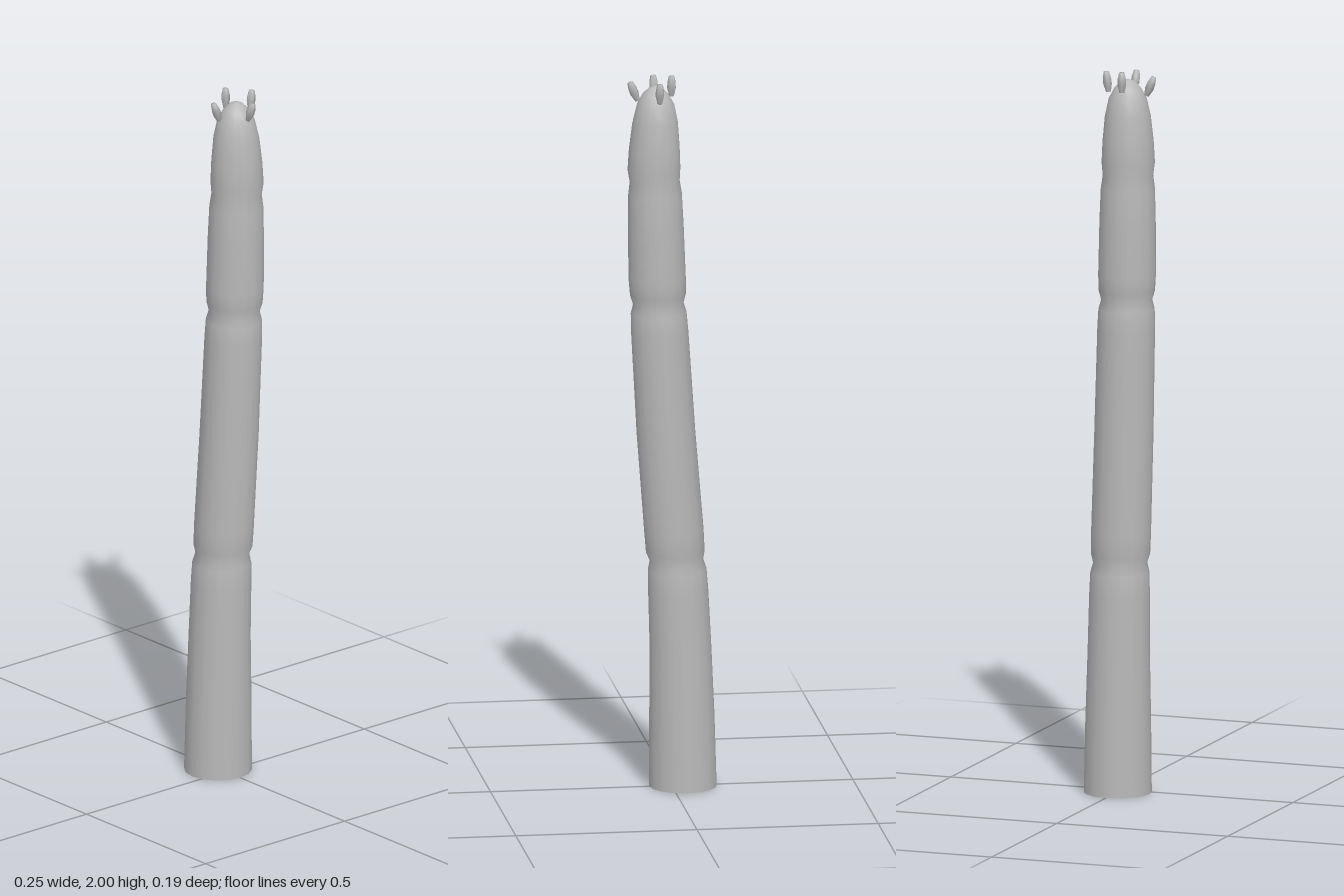
import * as THREE from 'three';

export function createModel() {
  const model = new THREE.Group();
  const grey = new THREE.MeshStandardMaterial({ color: 0xb8b8b8, side: THREE.DoubleSide });
  grey.name = 'plain grey';

  // Leaning stalk: each ring is [height, centre x, radius], pinched at the joints
  const rings = [
    [0, -0.031, 0.093], [0.2, -0.028, 0.09], [0.4, -0.024, 0.085], [0.55, -0.018, 0.083],
    [0.61, -0.015, 0.081], [0.637, -0.013, 0.074], [0.66, -0.01, 0.081], [0.72, -0.006, 0.082],
    [1.0, 0.016, 0.081], [1.28, 0.033, 0.079], [1.335, 0.036, 0.077], [1.36, 0.037, 0.07],
    [1.385, 0.038, 0.077], [1.43, 0.04, 0.079], [1.58, 0.044, 0.077], [1.67, 0.046, 0.074],
    [1.705, 0.047, 0.069], [1.74, 0.049, 0.073], [1.8, 0.048, 0.07], [1.87, 0.046, 0.063],
    [1.92, 0.045, 0.052], [1.95, 0.045, 0.036], [1.968, 0.045, 0.018], [1.974, 0.045, 0],
  ];
  const sides = 16;
  const stalk = new THREE.LatheGeometry(rings.map(([y, , r]) => new THREE.Vector2(r, y)), sides);
  const pos = stalk.attributes.position;
  for (let i = 0; i < pos.count; i++) {
    pos.setX(i, pos.getX(i) + rings[i % rings.length][1]);
  }
  const stalkMesh = new THREE.Mesh(stalk, grey);
  stalkMesh.name = 'jointedStalk';
  model.add(stalkMesh);

  // Four small five-sided buds around the rounded tip
  const budProfile = [[0.007, 0], [0.0125, 0.022], [0.012, 0.038], [0.008, 0.056], [0, 0.056]]
    .map(([r, y]) => new THREE.Vector2(r, y));
  const budGeometry = new THREE.LatheGeometry(budProfile, 5);
  const up = new THREE.Vector3(0, 1, 0);
  const buds = [
    ['leftBud', [0.094, 1.933, 0], [0.4, 1, 0]],
    ['rightBud', [0, 1.943, 0], [0, 1, 0]],
    ['frontBud', [0.04, 1.932, 0.057], [0, 1, 0.4]],
    ['backBud', [0.04, 1.935, -0.054], [0, 1, -0.12]],
  ];
  for (const [name, base, direction] of buds) {
    const bud = new THREE.Mesh(budGeometry, grey);
    bud.name = name;
    bud.position.set(...base);
    bud.quaternion.setFromUnitVectors(up, new THREE.Vector3(...direction).normalize());
    model.add(bud);
  }
  return model;
}
